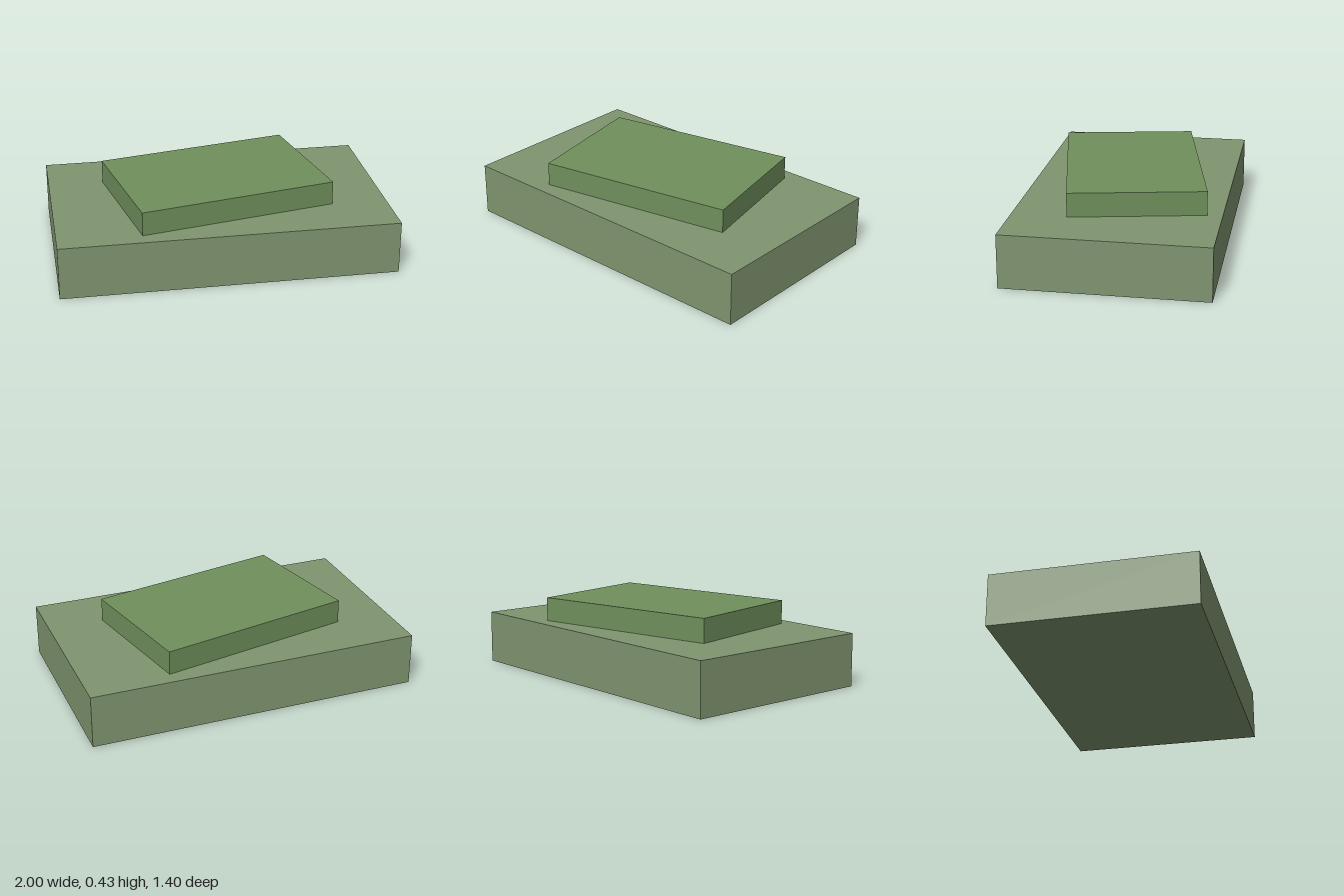
import * as THREE from 'three';

// A slab with its underside at height y, turned about the vertical axis
function slab(name, [w, h, d], y, turn, color) {
  const mesh = new THREE.Mesh(
    new THREE.BoxGeometry(w, h, d),
    new THREE.MeshStandardMaterial({ color, flatShading: true })
  );
  mesh.name = name;
  mesh.position.y = y + h / 2;
  mesh.rotation.y = turn;
  return mesh;
}

export function createModel() {
  const model = new THREE.Group();
  model.name = 'steppedSlabs';
  const baseHeight = 0.293;

  // Wide lower slab
  model.add(slab('lowerSlab', [1.838, baseHeight, 1.104], 0, -0.171, 0x7f956f));

  // Smaller upper slab, turned slightly the other way
  model.add(slab('upperSlab', [1.1, 0.132, 0.737], baseHeight, 0.029, 0x6f8f5c));

  return model;
}
